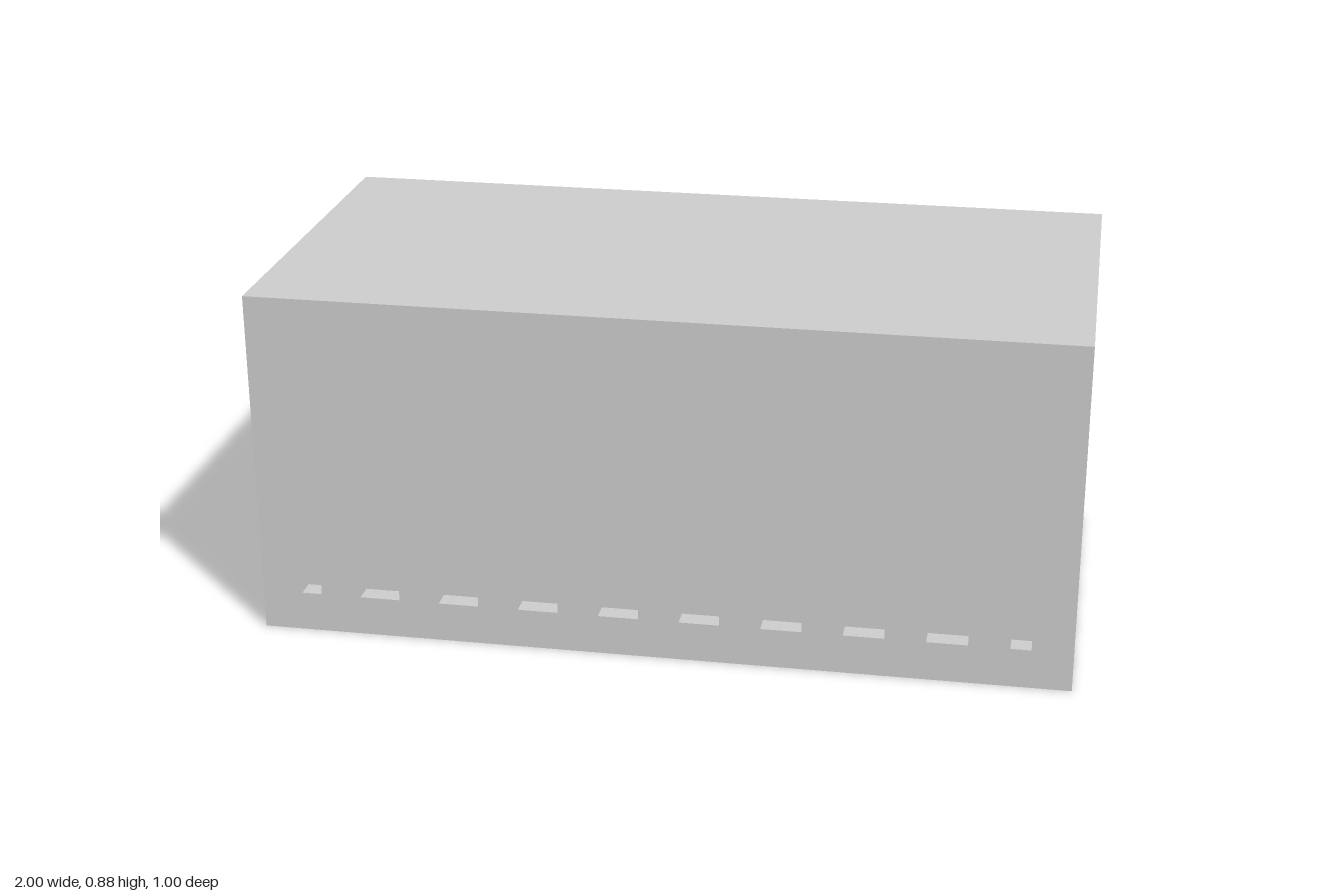
import * as THREE from 'three';

const material = new THREE.MeshStandardMaterial({ color: 0xcccccc, side: THREE.DoubleSide, flatShading: true });

const DECK_Y = 0.1;      // top of the base frame
const CARGO_Y = 0.125;   // top of the deck boards
const TOP_Y = 0.875;

// Box between two corners; faces are numbered +x, -x, +y, -y, +z, -z and the listed ones stay open.
function box(name, [x0, y0, z0], [x1, y1, z1], open = []) {
  const geometry = new THREE.BoxGeometry(x1 - x0, y1 - y0, z1 - z0);
  geometry.translate((x0 + x1) / 2, (y0 + y1) / 2, (z0 + z1) / 2);
  const index = Array.from(geometry.index.array);
  geometry.setIndex(index.filter((_, i) => !open.includes(Math.floor(i / 6))));
  geometry.clearGroups();
  const mesh = new THREE.Mesh(geometry, material);
  mesh.name = name;
  return mesh;
}

function rectangle(path, x0, y0, x1, y1) {
  return path.moveTo(x0, y0).lineTo(x1, y0).lineTo(x1, y1).lineTo(x0, y1).closePath();
}

// Hollow base frame, open underneath, with four rectangular bays
function createFrame() {
  const frame = new THREE.Group();
  frame.name = 'baseFrame';
  frame.add(box('frameOuterWalls', [-1, 0, -0.5], [1, DECK_Y, 0.5], [2, 3]));

  const plan = rectangle(new THREE.Shape(), -1, -0.5, 1, 0.5);
  for (const x of [-0.95, 0.05]) {
    for (const z of [-0.4, 0.05]) {
      plan.holes.push(rectangle(new THREE.Path(), x, z, x + 0.9, z + 0.35));
      frame.add(box('bayWalls', [x, 0, z], [x + 0.9, DECK_Y, z + 0.35], [2, 3]));
    }
  }
  const top = new THREE.Mesh(new THREE.ShapeGeometry(plan).rotateX(-Math.PI / 2), material);
  top.name = 'frameTop';
  top.position.y = DECK_Y;
  frame.add(top);
  return frame;
}

// Cross boards with gaps between the frame and the cargo
function createDeck() {
  const deck = new THREE.Group();
  deck.name = 'deckBoards';
  const addBoard = (x0, x1) => deck.add(box('deckBoard', [x0, DECK_Y, -0.5], [x1, CARGO_Y, 0.5]));
  for (let i = -4; i <= 4; i++) addBoard(i * 0.2 - 0.05, i * 0.2 + 0.05);
  addBoard(-1, -0.9);
  addBoard(0.9, 1);
  return deck;
}

export function createModel() {
  const model = new THREE.Group();
  model.name = 'loadedPallet';
  model.add(createFrame(), createDeck());
  // Cargo shell, open underneath
  model.add(box('cargoBox', [-1, CARGO_Y, -0.5], [1, TOP_Y, 0.5], [3]));
  return model;
}
